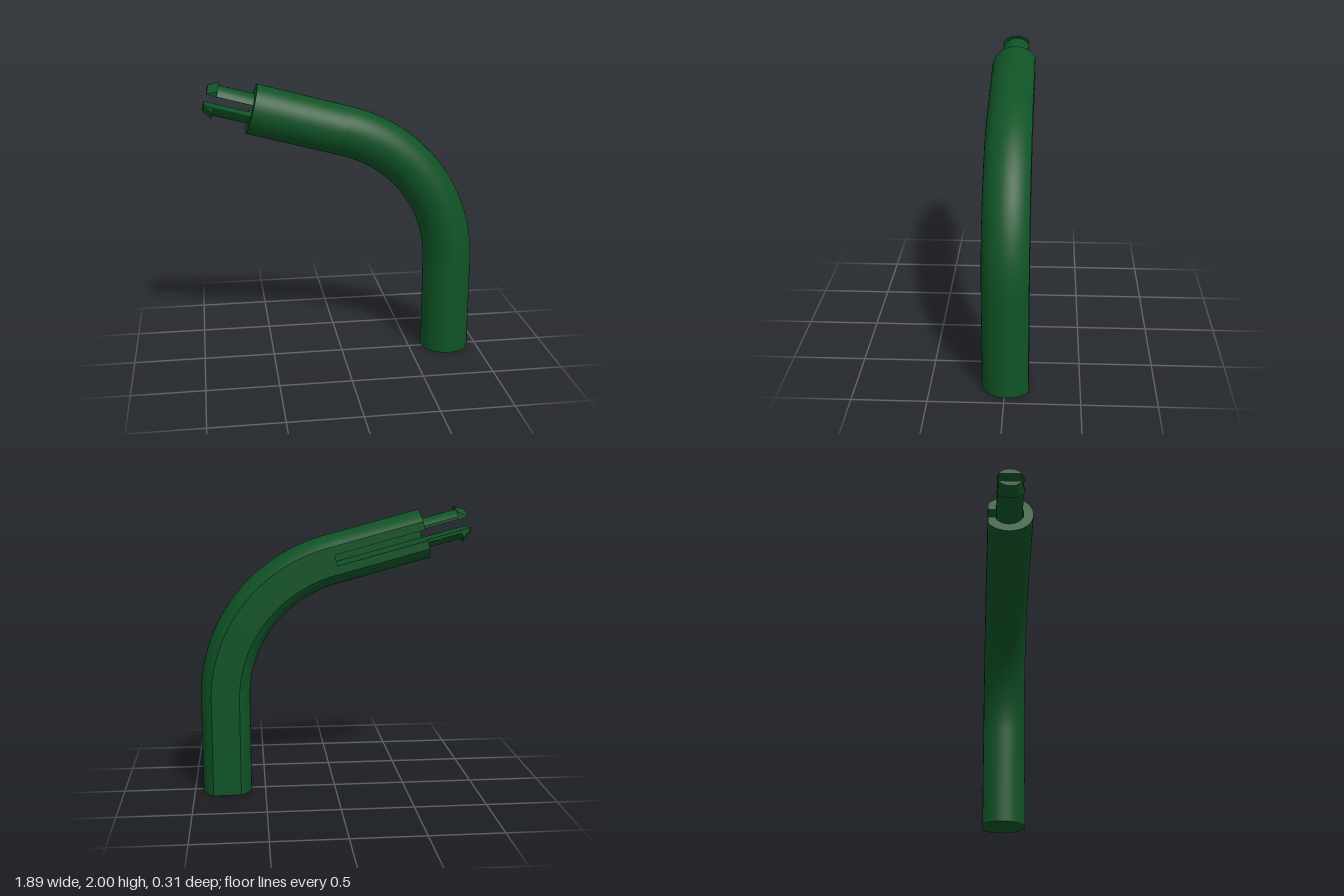
import * as THREE from 'three';
import { toCreasedNormals } from 'three/addons/utils/BufferGeometryUtils.js';

const AXIS_Z = -0.015;   // depth of the rod's centre line
const R = 0.172;         // rod radius
const FLAT = 0.142;      // distance from centre line to the flat back
const GAP = 0.038;       // half width of the slot between the prongs
const TURN = THREE.MathUtils.degToRad(75);
const BEND = { x: -0.22, y: 0.683, r: 0.99 };

// Station on the centre line: position and heading (0 = straight up, turning towards -x)
function frame(x, y, angle) {
  return {
    p: new THREE.Vector3(x, y, AXIS_Z),
    t: new THREE.Vector3(-Math.sin(angle), Math.cos(angle), 0),
    n: new THREE.Vector3(Math.cos(angle), Math.sin(angle), 0),
  };
}

const bendFrame = (a) => frame(BEND.x + BEND.r * Math.cos(a), BEND.y + BEND.r * Math.sin(a), a);

// Station on the straight arm, s measured outwards from the end of the bend
function armFrame(s) {
  const f = bendFrame(TURN);
  f.p.addScaledVector(f.t, s);
  return f;
}

// Joins counter-clockwise sections [{f, pts}] into a closed solid
function loft(sections) {
  const pos = [], index = [], n = sections[0].pts.length;
  for (const { f, pts } of sections) {
    for (const q of pts) {
      const v = f.p.clone().addScaledVector(f.n, q.y);
      pos.push(v.x, v.y, v.z + q.x);
    }
  }
  for (let i = 0; i < sections.length - 1; i++) {
    for (let j = 0; j < n; j++) {
      const a = i * n + j, b = i * n + (j + 1) % n;
      index.push(a, b, b + n, a, b + n, a + n);
    }
  }
  const last = (sections.length - 1) * n;
  for (const [a, b, c] of THREE.ShapeUtils.triangulateShape(sections[0].pts, [])) index.push(a, c, b);
  for (const [a, b, c] of THREE.ShapeUtils.triangulateShape(sections[sections.length - 1].pts, [])) {
    index.push(last + a, last + b, last + c);
  }
  const g = new THREE.BufferGeometry();
  g.setAttribute('position', new THREE.Float32BufferAttribute(pos, 3));
  g.setIndex(index);
  return toCreasedNormals(g.toNonIndexed(), 0.5);
}

// Round section with a flat back, optionally slotted from the back
function rodSection(slotted) {
  const pts = [], half = Math.acos(-FLAT / R), steps = 36;
  for (let i = 0; i <= steps; i++) {
    const a = -half + (2 * half * i) / steps;
    pts.push(new THREE.Vector2(R * Math.cos(a), R * Math.sin(a)));
  }
  if (slotted) {
    for (const [x, y] of [[-FLAT, GAP], [0.102, GAP], [0.102, -GAP], [-FLAT, -GAP]]) {
      pts.push(new THREE.Vector2(x, y));
    }
  }
  return pts;
}

// Half-round prong section of radius r; side is +1 for upper, -1 for lower
function prongSection(r, side) {
  const w = Math.sqrt(r * r - GAP * GAP) - 0.002;
  const lo = Math.max(-0.085, -w), hi = Math.min(0.102, w), steps = 10;
  const pts = [new THREE.Vector2(lo, GAP * side), new THREE.Vector2(hi, GAP * side)];
  for (let i = 0; i <= steps; i++) {
    const z = hi + ((lo - hi) * i) / steps;
    pts.push(new THREE.Vector2(z, side * Math.sqrt(r * r - z * z)));
  }
  return side > 0 ? pts : pts.reverse();
}

export function createModel() {
  const group = new THREE.Group();
  const green = new THREE.MeshStandardMaterial({ color: 0x0f5326 });
  green.name = 'dark green';
  const add = (name, geometry) => {
    const mesh = new THREE.Mesh(geometry, green);
    mesh.name = name;
    group.add(mesh);
  };

  const armLength = 0.675, slotStart = 0.035;

  // Upright post and bend
  const solid = rodSection(false);
  const stations = [frame(0.77, 0, 0)];
  for (let i = 0; i <= 24; i++) stations.push(bendFrame((TURN * i) / 24));
  stations.push(armFrame(slotStart));
  add('postAndBend', loft(stations.map((f) => ({ f, pts: solid }))));

  // Straight arm, slotted along its back
  const slotted = rodSection(true);
  add('slottedArm', loft([slotStart, armLength].map((s) => ({ f: armFrame(s), pts: slotted }))));

  // Pair of barbed snap prongs
  const profile = [[0, 0.103], [0.255, 0.103], [0.249, 0.127], [0.317, 0.087]];
  for (const side of [1, -1]) {
    add(side > 0 ? 'upperProng' : 'lowerProng', loft(profile.map(([s, r]) => ({
      f: armFrame(armLength + s), pts: prongSection(r, side),
    }))));
  }
  return group;
}
